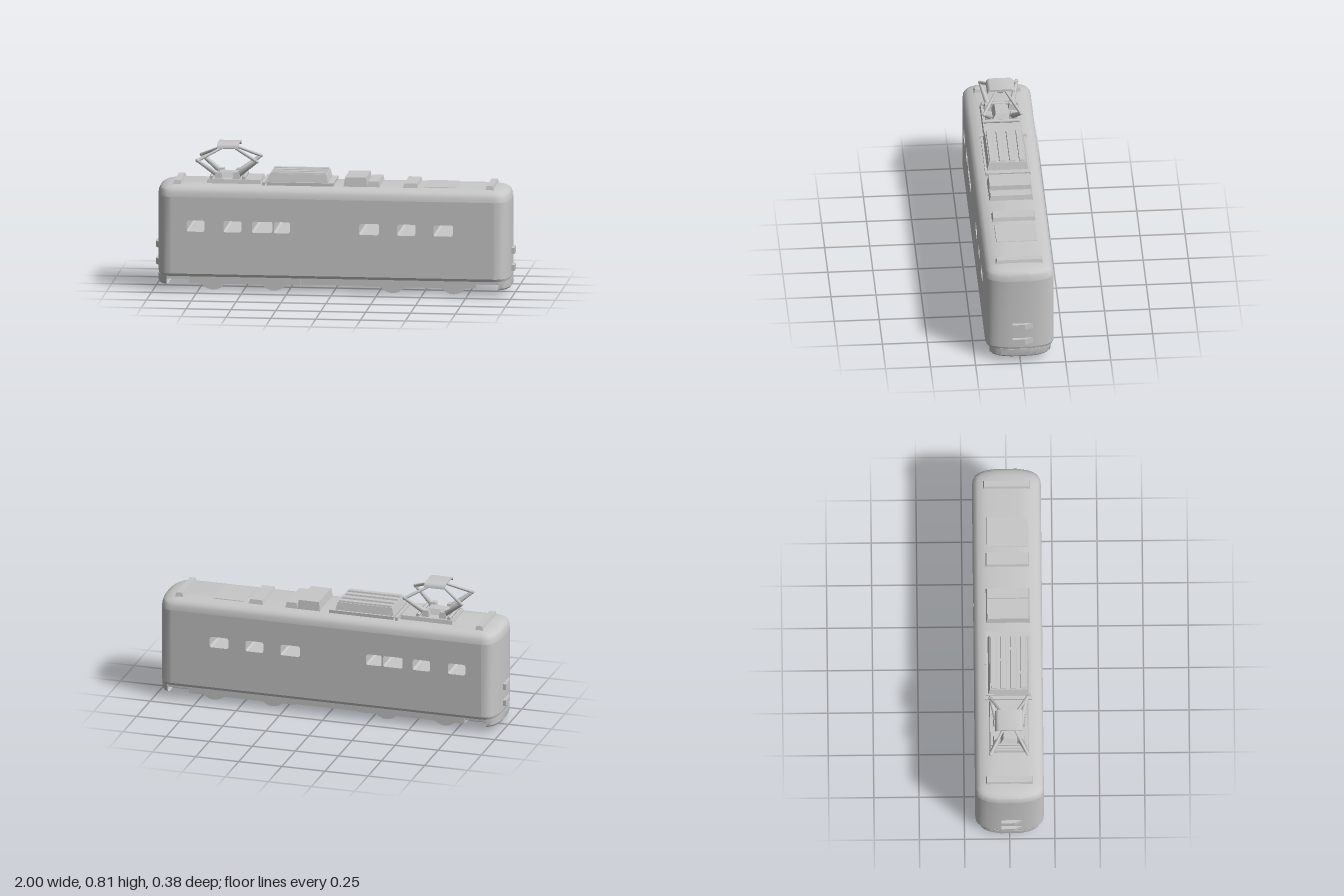
import * as THREE from 'three';
import { toCreasedNormals } from 'three/addons/utils/BufferGeometryUtils.js';

const bodyGrey = new THREE.MeshStandardMaterial({ color: 0xc8c8c8 });
bodyGrey.name = 'bodyGrey';

// Plan of one rounded end, from its +z side to its -z side
const halfEnd = [[0.9, 0.19], [0.925, 0.186], [0.945, 0.174], [0.96, 0.152], [0.972, 0.12], [0.982, 0.06]];
const endPlan = [...halfEnd, ...halfEnd.map(([x, z]) => [x, -z]).reverse()];
const fullPlan = [...endPlan, ...endPlan.map(([x, z]) => [-x, -z])];

// Solid from a plan repeated at levels [y, half width, shortening], bottom to top
function loft(plan, levels, rise = 0) {
  const pos = [], idx = [], n = plan.length;
  for (const [y, w, dx] of levels) {
    for (const [x, z] of plan) pos.push(x - Math.sign(x) * dx, y, z * w / 0.19);
  }
  for (let r = 0; r < levels.length - 1; r++) {
    for (let i = 0; i < n; i++) {
      const a = r * n + i, b = r * n + (i + 1) % n;
      idx.push(a, b, b + n, a, b + n, a + n);
    }
  }
  const cx = plan.reduce((s, p) => s + p[0], 0) / n;
  const low = pos.length / 3, top = (levels.length - 1) * n;
  pos.push(cx, levels[0][0], 0, cx, levels[levels.length - 1][0] + rise, 0);
  for (let i = 0; i < n; i++) {
    const j = (i + 1) % n;
    idx.push(low, j, i, low + 1, top + i, top + j);
  }
  const g = new THREE.BufferGeometry();
  g.setAttribute('position', new THREE.Float32BufferAttribute(pos, 3));
  g.setIndex(idx);
  return toCreasedNormals(g, 0.6);
}

// Box whose top is drawn in by a slope on all four sides
function hatch(x0, x1, y0, y1, w, slope = 0) {
  const g = new THREE.BoxGeometry(x1 - x0, y1 - y0, w * 2);
  const p = g.attributes.position;
  for (let i = 0; i < p.count; i++) {
    if (p.getY(i) > 0) {
      p.setX(i, p.getX(i) - Math.sign(p.getX(i)) * slope);
      p.setZ(i, p.getZ(i) - Math.sign(p.getZ(i)) * slope);
    }
  }
  g.translate((x0 + x1) / 2, (y0 + y1) / 2, 0);
  g.computeVertexNormals();
  return g;
}

function roundRect(path, x0, x1, y0, y1, r) {
  path.moveTo(x0 + r, y0);
  path.lineTo(x1 - r, y0).quadraticCurveTo(x1, y0, x1, y0 + r);
  path.lineTo(x1, y1 - r).quadraticCurveTo(x1, y1, x1 - r, y1);
  path.lineTo(x0 + r, y1).quadraticCurveTo(x0, y1, x0, y1 - r);
  path.lineTo(x0, y0 + r).quadraticCurveTo(x0, y0, x0 + r, y0);
  return path;
}

export function createModel() {
  const model = new THREE.Group();
  model.name = 'electricLocomotive';
  const add = (name, geo, parent = model) => {
    const m = new THREE.Mesh(geo, bodyGrey);
    m.name = name;
    parent.add(m);
    return m;
  };
  const rod = (name, a, b, r0, r1, parent) => {
    const A = new THREE.Vector3(...a), B = new THREE.Vector3(...b);
    const m = add(name, new THREE.CylinderGeometry(r1, r0, A.distanceTo(B), 8), parent);
    m.position.copy(A).lerp(B, 0.5);
    m.quaternion.setFromUnitVectors(new THREE.Vector3(0, 1, 0), B.sub(A).normalize());
    return m;
  };

  // Side walls with window openings running right through
  const wall = new THREE.Shape([[-0.9, 0.1], [0.9, 0.1], [0.9, 0.53], [-0.9, 0.53]].map(p => new THREE.Vector2(...p)));
  const windows = [[-0.81, -0.71], [-0.605, -0.505], [-0.447, -0.333], [-0.325, -0.235],
    [0.15, 0.262], [0.362, 0.465], [0.565, 0.673]];
  for (const [a, b] of windows) wall.holes.push(roundRect(new THREE.Path(), a, b, 0.337, 0.4, 0.012));
  const walls = new THREE.ExtrudeGeometry(wall, { depth: 0.38, bevelEnabled: false, curveSegments: 4 });
  walls.translate(0, 0, -0.19);
  add('sideWalls', walls);

  // Roof and sill over the whole plan
  add('roof', loft(fullPlan, [[0.53, 0.19, 0], [0.555, 0.187, 0.003], [0.573, 0.177, 0.01],
    [0.584, 0.161, 0.025], [0.592, 0.135, 0.05], [0.597, 0.11, 0.09]], 0.002));
  add('sill', loft(fullPlan, [[0.085, 0.183, 0.003], [0.1, 0.19, 0]]));

  for (const s of [1, -1]) {
    const end = new THREE.Group();
    end.name = s > 0 ? 'leftEnd' : 'rightEnd';
    end.rotation.y = s > 0 ? 0 : Math.PI;
    model.add(end);
    add('endCab', loft(endPlan, [[0.1, 0.19, 0], [0.53, 0.19, 0]]), end);
    add('apron', loft(endPlan.map(([x, z]) => [Math.max(x, 0.925), z]),
      [[0.036, 0.165, 0.006], [0.045, 0.169, 0], [0.086, 0.174, 0]]), end);
    add('apronStep', hatch(0.8, 0.93, 0.066, 0.09, 0.165), end);

    // Footsteps on the end face, each tapering away to one side
    for (const y of [0.125, 0.221]) {
      const step = new THREE.Shape([[0.97, 0.045], [1, 0.045], [1, -0.025], [0.98, -0.07], [0.97, -0.07]]
        .map(([x, z]) => new THREE.Vector2(x, -z)));
      const g = new THREE.ExtrudeGeometry(step, { depth: 0.034, bevelEnabled: false });
      g.rotateX(-Math.PI / 2);
      g.translate(0, y, 0);
      add('footstep', g, end);
    }
    add('roofEndStrip', hatch(0.845, 0.895, 0.585, 0.614, 0.132, 0.008), end);

    // Running gear
    for (const z of [1, -1]) {
      const skirt = add('sideSkirt', new THREE.BoxGeometry(0.62, 0.044, 0.018), end);
      skirt.position.set(0.49, 0.066, z * 0.16);
      const frame = add('bogieFrame', new THREE.BoxGeometry(0.6, 0.05, 0.03), end);
      frame.position.set(0.5, 0.063, z * 0.106);
      for (const x of [0.33, 0.67]) {
        const wheel = add('wheel', new THREE.CylinderGeometry(0.08, 0.08, 0.034, 28), end);
        wheel.rotation.x = Math.PI / 2;
        wheel.position.set(x, 0.082, z * 0.106);
      }
    }
    for (const x of [0.21, 0.785]) {
      add('bogieCrossbar', hatch(x - 0.015, x + 0.015, 0.045, 0.088, 0.168), end);
    }
  }
  add('underfloorTank', hatch(-0.19, 0.19, 0.048, 0.09, 0.168));

  // Roof equipment
  add('resistorBase', hatch(-0.372, 0, 0.59, 0.612, 0.125));
  add('resistorBox', hatch(-0.37, -0.03, 0.605, 0.655, 0.115, 0.012));
  for (const z of [-0.082, -0.028, 0.028, 0.082]) {
    add('resistorSlat', hatch(-0.355, -0.045, 0.65, 0.664, 0.018, 0.004)).position.z = z;
  }
  add('ventBox', hatch(0.055, 0.188, 0.59, 0.646, 0.122, 0.008));
  add('ventStep', hatch(0.185, 0.258, 0.59, 0.626, 0.122, 0.008));
  add('smallHatch', hatch(0.385, 0.47, 0.59, 0.619, 0.122, 0.008));
  add('roofPanel', hatch(0.5, 0.68, 0.59, 0.601, 0.115, 0.004));
  add('roofRib', hatch(-0.398, -0.382, 0.59, 0.612, 0.13));

  // Pantograph, four bent arms carrying the collector
  const panto = new THREE.Group();
  panto.name = 'pantograph';
  panto.position.x = -0.595;
  model.add(panto);
  add('pantographBase', hatch(-0.115, 0.19, 0.59, 0.62, 0.11, 0.006), panto);
  add('baseBlock', hatch(-0.07, 0.07, 0.615, 0.65, 0.05, 0.02), panto);
  for (const sx of [1, -1]) {
    for (const sz of [1, -1]) {
      const foot = [sx * 0.05, 0.635, sz * 0.062];
      const knee = [sx * 0.165, 0.722, sz * 0.102];
      const head = [sx * 0.03, 0.787, sz * 0.025];
      rod('lowerArm', foot, knee, 0.017, 0.009, panto);
      rod('upperArm', knee, head, 0.009, 0.007, panto);
      add('kneeJoint', new THREE.SphereGeometry(0.011, 10, 8), panto).position.set(...knee);
      add('footMount', hatch(-0.022, 0.022, 0.615, 0.655, 0.022, 0.006), panto)
        .position.set(sx * 0.05, 0, sz * 0.068);
    }
    rod('baseRail', [sx * 0.09, 0.628, -0.1], [sx * 0.09, 0.628, 0.1], 0.01, 0.01, panto);
    rod('headBar', [sx * 0.03, 0.787, -0.03], [sx * 0.03, 0.787, 0.03], 0.008, 0.008, panto);
  }
  rod('headLink', [-0.035, 0.785, 0], [0.035, 0.785, 0], 0.013, 0.013, panto);
  add('headPost', hatch(-0.03, 0.03, 0.785, 0.807, 0.028), panto);

  // Collector strip with down-curved horns, drawn across z
  const strip = new THREE.Shape();
  strip.moveTo(-0.078, 0.788);
  strip.quadraticCurveTo(-0.075, 0.814, -0.05, 0.814);
  strip.lineTo(0.05, 0.814);
  strip.quadraticCurveTo(0.075, 0.814, 0.078, 0.788);
  strip.quadraticCurveTo(0.068, 0.805, 0.05, 0.805);
  strip.lineTo(-0.05, 0.805);
  strip.quadraticCurveTo(-0.068, 0.805, -0.078, 0.788);
  const collector = new THREE.ExtrudeGeometry(strip, { depth: 0.12, bevelEnabled: false, curveSegments: 6 });
  collector.translate(0, 0, -0.06);
  collector.rotateY(Math.PI / 2);
  add('collectorHead', toCreasedNormals(collector, 0.6), panto);

  return model;
}
